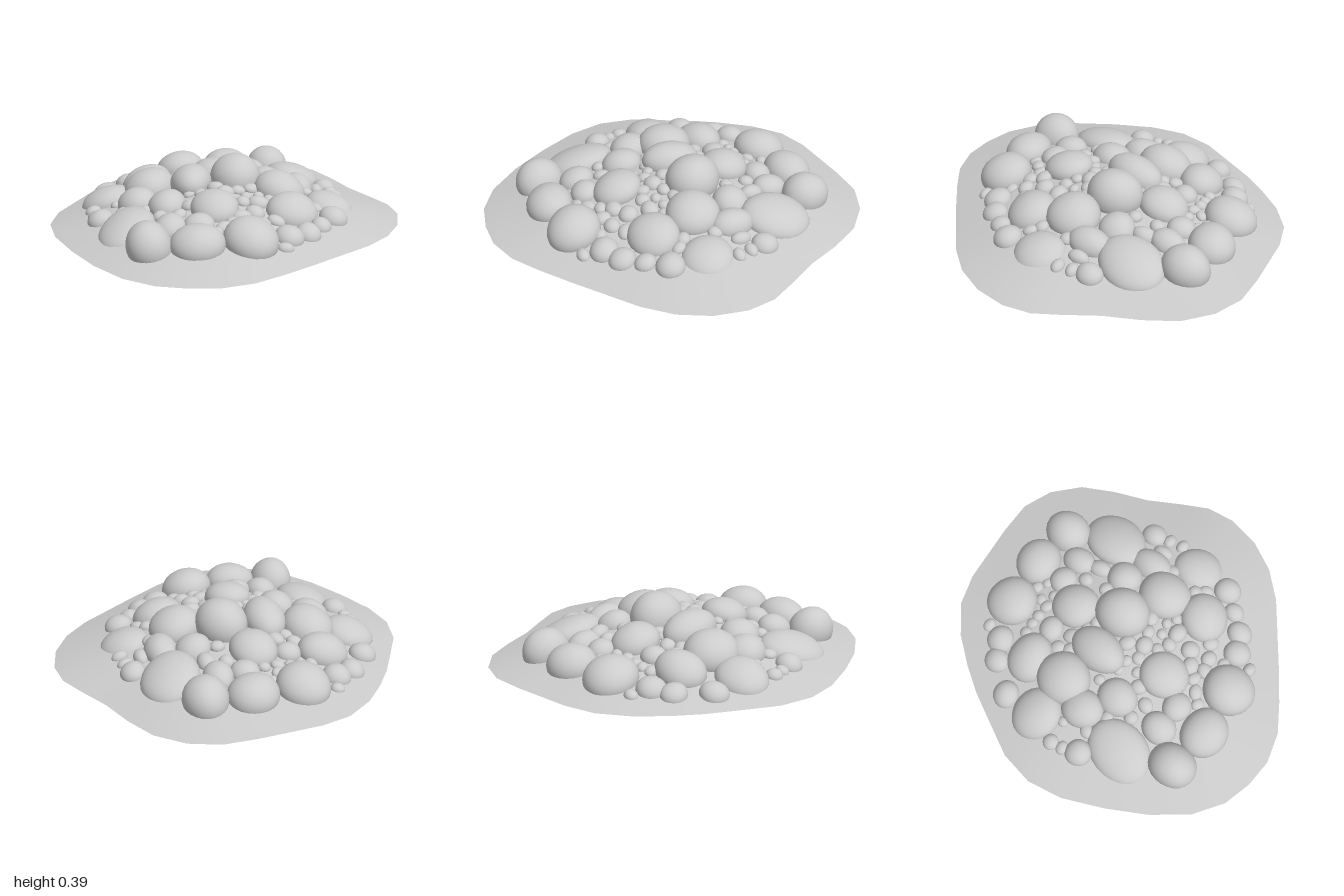
import * as THREE from 'three';
import { mergeVertices } from 'three/addons/utils/BufferGeometryUtils.js';

// Rim of the ground sheet, as x, z pairs
const RIM = [
  [0.96, -0.08], [0.97, 0.08], [0.92, 0.26], [0.82, 0.42], [0.68, 0.55], [0.51, 0.66], [0.34, 0.77], [0.16, 0.88],
  [0, 0.965], [-0.17, 1], [-0.33, 0.98], [-0.49, 0.925], [-0.64, 0.805], [-0.77, 0.61], [-0.87, 0.39], [-0.95, 0.16],
  [-0.97, -0.04], [-0.92, -0.23], [-0.81, -0.41], [-0.71, -0.57], [-0.61, -0.7], [-0.48, -0.84], [-0.32, -0.95], [-0.15, -0.99],
  [0.02, -0.995], [0.19, -1], [0.38, -0.99], [0.54, -0.915], [0.67, -0.78], [0.75, -0.6], [0.81, -0.41], [0.9, -0.22],
];

// Large stones: x, z, radius x, radius z, half thickness, lift above the sheet, turn
const BOULDERS = [
  [-0.17, -0.69, 0.145, 0.15, 0.11, 0.01, 0], [0.11, -0.7, 0.14, 0.13, 0.11, 0.01, 0],
  [0.355, -0.66, 0.12, 0.135, 0.125, 0.015, 0], [0.46, -0.4, 0.16, 0.195, 0.09, 0, -0.36],
  [-0.4, -0.41, 0.145, 0.125, 0.1, 0.01, 0], [-0.02, -0.355, 0.13, 0.14, 0.095, 0.01, 0],
  [-0.64, -0.205, 0.15, 0.14, 0.09, -0.005, 0], [-0.405, -0.18, 0.145, 0.155, 0.12, 0.02, 0],
  [-0.18, -0.1, 0.115, 0.165, 0.105, 0.025, -0.1], [0.07, -0.1, 0.14, 0.155, 0.14, 0.025, 0],
  [0.3, 0.03, 0.145, 0.15, 0.11, 0.01, 0], [0.57, 0.09, 0.14, 0.145, 0.085, -0.03, 0],
  [-0.575, 0.295, 0.155, 0.2, 0.085, -0.01, -0.4], [-0.1, 0.28, 0.13, 0.14, 0.09, 0.01, 0],
  [0.32, 0.28, 0.145, 0.14, 0.1, 0, 0], [-0.485, 0.58, 0.12, 0.14, 0.13, 0.02, 0],
  [-0.24, 0.63, 0.145, 0.13, 0.105, 0.01, 0], [0.04, 0.615, 0.145, 0.15, 0.115, 0.015, 0],
];

// Medium stones: x, z, radius x, radius z
const COBBLES = [
  [0.275, -0.22, 0.1, 0.1], [0.43, -0.14, 0.09, 0.125], [0.23, -0.5, 0.08, 0.1], [0.085, -0.51, 0.08, 0.08],
  [-0.34, 0.13, 0.105, 0.115], [-0.49, 0, 0.11, 0.12], [-0.355, 0.41, 0.09, 0.1], [-0.205, 0.43, 0.085, 0.08],
  [-0.635, -0.415, 0.08, 0.075], [-0.5, -0.57, 0.07, 0.075], [-0.39, -0.62, 0.08, 0.08], [-0.35, -0.725, 0.04, 0.035],
  [0.615, -0.235, 0.07, 0.075], [0.545, 0.3, 0.08, 0.08], [0.365, 0.49, 0.07, 0.075], [0.255, 0.54, 0.08, 0.08],
  [0.215, 0.645, 0.045, 0.035], [0.455, 0.4, 0.055, 0.06], [-0.7, 0.11, 0.075, 0.075], [-0.73, -0.05, 0.045, 0.045],
  [-0.725, 0.02, 0.04, 0.035], [-0.2, -0.4, 0.075, 0.07], [0.15, -0.4, 0.042, 0.045], [0.25, -0.37, 0.05, 0.07],
  [0.64, -0.06, 0.045, 0.035], [0.63, -0.14, 0.045, 0.035], [0.54, -0.13, 0.04, 0.06], [0.15, 0.21, 0.06, 0.05],
  [0.11, 0.32, 0.055, 0.055], [-0.02, 0.1, 0.055, 0.05], [0.13, 0.43, 0.05, 0.045], [-0.17, -0.51, 0.035, 0.035],
];

const material = new THREE.MeshStandardMaterial({ color: 0xcccccc });
const sheetMaterial = new THREE.MeshStandardMaterial({ color: 0xcccccc, side: THREE.DoubleSide });

function seeded(seed) {
  return () => (seed = (seed * 16807) % 2147483647) / 2147483647;
}

// Fraction of the way from the centre to the rim
function rimFraction(x, z) {
  for (let i = 0; i < RIM.length; i++) {
    const [ax, az] = RIM[i], [bx, bz] = RIM[(i + 1) % RIM.length];
    const d = ax * bz - az * bx;
    const a = (x * bz - z * bx) / d, b = (ax * z - az * x) / d;
    if (a >= 0 && b >= 0) return a + b;
  }
  return 0;
}

// Height of the mound, a little raised at the back edge
function moundHeight(x, z) {
  const s = Math.min(1, rimFraction(x, z));
  return 0.07 + 0.19 * (1 - s ** 1.25) + 0.015 * Math.max(0, -z) ** 4;
}

function makeSheet() {
  const rings = 14, n = RIM.length, positions = [0, moundHeight(0, 0), 0], index = [];
  for (let r = 1; r <= rings; r++) {
    for (const [rx, rz] of RIM) {
      const x = rx * r / rings, z = rz * r / rings;
      positions.push(x, moundHeight(x, z), z);
    }
  }
  for (let i = 0; i < n; i++) {
    const j = (i + 1) % n;
    index.push(0, 1 + j, 1 + i);
    for (let r = 0; r < rings - 1; r++) {
      const a = 1 + r * n + i, b = 1 + r * n + j;
      index.push(a, b, a + n, b, b + n, a + n);
    }
  }
  const geometry = new THREE.BufferGeometry();
  geometry.setAttribute('position', new THREE.Float32BufferAttribute(positions, 3));
  geometry.setIndex(index);
  geometry.computeVertexNormals();
  const sheet = new THREE.Mesh(geometry, sheetMaterial);
  sheet.name = 'groundSheet';
  return sheet;
}

// Slightly uneven smooth ellipsoid leaning outwards with the slope of the mound
function makeStone(name, x, z, rx, rz, ry, lift, turn, phase) {
  const sphere = new THREE.SphereGeometry(1, 24, 16);
  sphere.deleteAttribute('uv');
  sphere.deleteAttribute('normal');
  const geometry = mergeVertices(sphere, 1e-4);
  const p = geometry.attributes.position, v = new THREE.Vector3();
  for (let i = 0; i < p.count; i++) {
    v.fromBufferAttribute(p, i);
    v.multiplyScalar(1 + 0.025 * Math.sin(2.5 * v.x + phase) * Math.cos(2.5 * v.z + 2 * phase));
    p.setXYZ(i, v.x * rx, v.y * ry, v.z * rz);
  }
  geometry.computeVertexNormals();
  const stone = new THREE.Mesh(geometry, material);
  stone.name = name;
  const e = 0.06, lean = 1.6;
  const normal = new THREE.Vector3(
    lean * (moundHeight(x - e, z) - moundHeight(x + e, z)), 2 * e,
    lean * (moundHeight(x, z - e) - moundHeight(x, z + e))).normalize();
  const up = new THREE.Vector3(0, 1, 0);
  stone.quaternion.setFromUnitVectors(up, normal)
    .multiply(new THREE.Quaternion().setFromAxisAngle(up, turn));
  stone.position.set(x, moundHeight(x, z) + lift, z);
  return stone;
}

export function createModel() {
  const model = new THREE.Group();
  model.name = 'stonePile';
  model.add(makeSheet());

  const random = seeded(77);
  const placed = [];
  const addStone = (name, x, z, rx, rz, ry, lift, turn) => {
    placed.push([x, z, (rx + rz) / 2]);
    model.add(makeStone(name, x, z, rx, rz, ry, lift, turn, random() * 6));
  };
  BOULDERS.forEach(b => addStone('boulder', ...b));
  COBBLES.forEach(([x, z, rx, rz]) => addStone('cobble', x, z, rx, rz, 0.4 * (rx + rz), 0, 0));

  // Pebbles filling the gaps between the larger stones
  for (let i = 0, count = 0; i < 4000 && count < 45; i++) {
    const angle = random() * Math.PI * 2, r = 0.62 * Math.sqrt(random());
    const x = r * Math.cos(angle), z = r * Math.sin(angle), size = 0.03 + 0.022 * random();
    if (rimFraction(x, z) > 0.72) continue;
    if (placed.some(([px, pz, pr]) => Math.hypot(px - x, pz - z) < 0.84 * (pr + size))) continue;
    addStone('pebble', x, z, size, size * (0.9 + 0.4 * random()), size * 0.75, 0.005, random() * 3);
    count++;
  }

  // Rest the lowest stone on the floor
  const low = new THREE.Box3().setFromObject(model, true).min.y;
  model.children.forEach(part => { part.position.y -= low; });
  return model;
}
